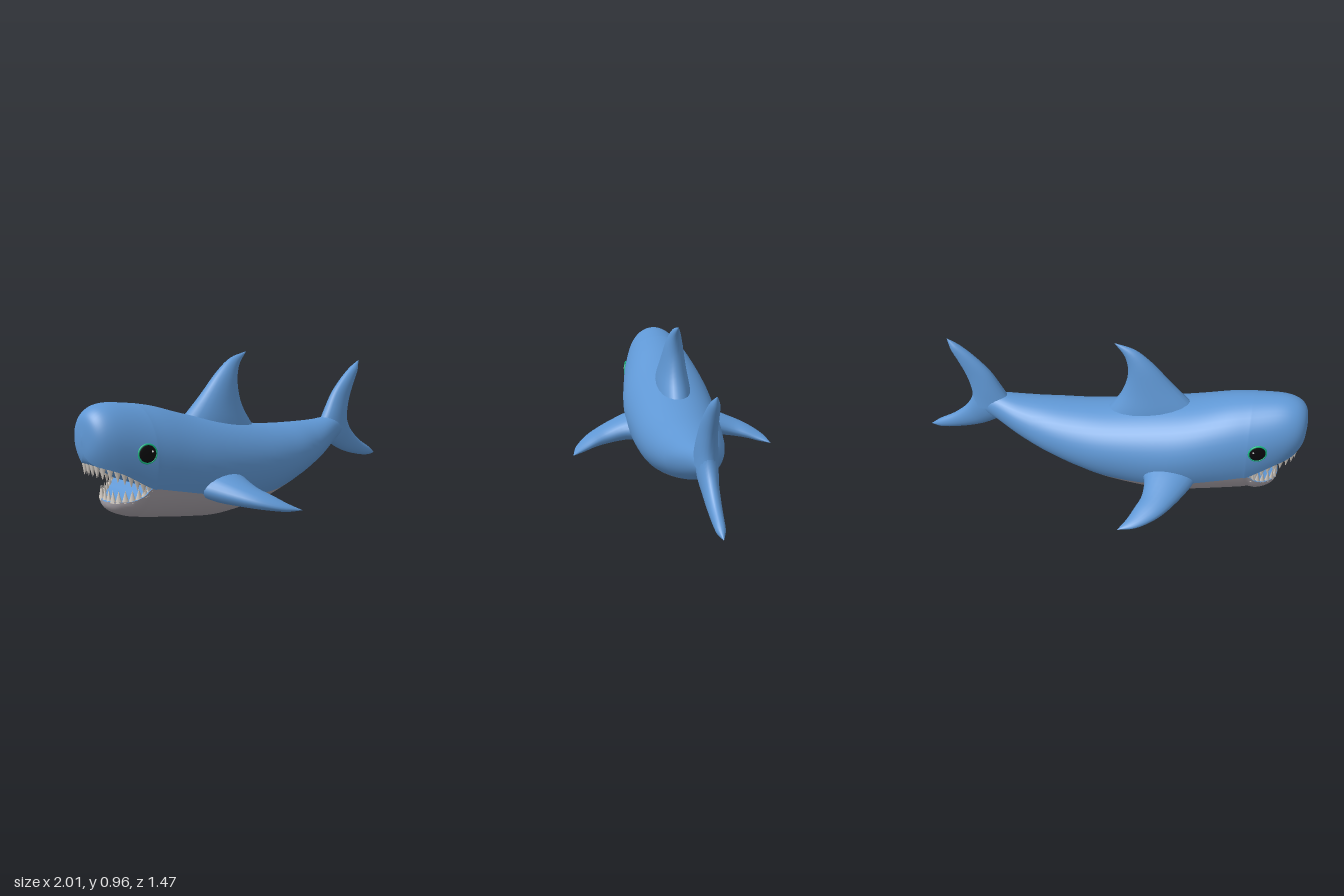
import * as THREE from 'three';

const paint = (name, color) => {
  const m = new THREE.MeshStandardMaterial({ color });
  m.name = name;
  return m;
};
const V = (x, y, z) => new THREE.Vector3(x, y, z);

// Smooth surface through rows of points; closed wraps each row into a ring
function skin(rows, closed = false) {
  const n = rows[0].length, index = [];
  for (let i = 0; i < rows.length - 1; i++) {
    for (let j = 0; j < (closed ? n : n - 1); j++) {
      const k = (j + 1) % n, a = i * n, b = a + n;
      index.push(a + j, b + j, a + k, b + j, b + k, a + k);
    }
  }
  const g = new THREE.BufferGeometry();
  g.setAttribute('position', new THREE.Float32BufferAttribute(rows.flat().flatMap(p => p.toArray()), 3));
  g.setIndex(index);
  g.computeVertexNormals();
  return g;
}

// Catmull-Rom refinement of a table of section values
function refine(table, steps = 5) {
  const out = [], at = i => table[Math.max(0, Math.min(table.length - 1, i))];
  for (let i = 0; i < table.length - 1; i++) {
    for (let s = 0; s < steps; s++) {
      const t = s / steps;
      out.push(at(i).map((b, k) => {
        const a = at(i - 1)[k], c = at(i + 1)[k], d = at(i + 2)[k];
        return b + 0.5 * t * (c - a + t * (2 * a - 5 * b + 4 * c - d + t * (3 * (b - c) + d - a)));
      }));
    }
  }
  out.push(table[table.length - 1]);
  return out;
}

// Arc of a body section, above or below the colour line / lip
function arc([x, w, top, mid, bottom, line], upper, n) {
  const start = Math.asin(Math.max(-1, Math.min(0, (line - mid) / (mid - bottom))));
  const from = upper ? start : Math.PI - start;
  const to = upper ? Math.PI - start : 2 * Math.PI + start;
  return Array.from({ length: n + 1 }, (_, j) => {
    const a = from + (to - from) * j / n, s = Math.sin(a);
    return V(x, mid + s * (s > 0 ? top - mid : mid - bottom), w * Math.cos(a));
  });
}

// Fin lofted between leading and trailing edges, with half thicknesses
function fin(lead, trail, thick, normal) {
  const edge = pts => new THREE.CatmullRomCurve3(pts.map(p => V(...p)));
  const L = edge(lead), T = edge(trail);
  const H = edge(thick.map(t => [t, 0, 0]));
  const n = normal.clone();
  const run = L.getPoint(1).sub(L.getPoint(0));
  if (run.cross(n).dot(L.getPoint(0.2).sub(T.getPoint(0.2))) < 0) n.negate();
  const rows = [];
  for (let i = 0; i <= 20; i++) {
    const l = L.getPoint(i / 20), t = T.getPoint(i / 20), h = H.getPoint(i / 20).x;
    const mid = l.clone().add(t).multiplyScalar(0.5), half = l.clone().sub(mid);
    rows.push(Array.from({ length: 20 }, (_, j) => {
      const a = j / 20 * 2 * Math.PI;
      return mid.clone().addScaledVector(half, Math.cos(a)).addScaledVector(n, h * Math.sin(a));
    }));
  }
  return skin(rows, true);
}

export function createModel() {
  const blue = paint('skin blue', 0x5f97d4);
  const grey = paint('belly grey', 0xa59fa6);
  const ivory = paint('tooth ivory', 0xcfc8c0);
  const black = paint('eye black', 0x0a0a0c);
  const green = paint('eye rim green', 0x18b984);
  const white = paint('eye glint white', 0xffffff);

  const shark = new THREE.Group();
  shark.name = 'shark';
  const add = (name, geometry, material, parent = shark) => {
    const m = new THREE.Mesh(geometry, material);
    m.name = name;
    parent.add(m);
    return m;
  };

  // Sections: position, half width, top, widest height, bottom, colour line
  const trunk = [
    [-0.86, 0.234, 0.716, 0.44, 0.08, 0.27], [-0.82, 0.242, 0.71, 0.43, 0.07, 0.262],
    [-0.7, 0.262, 0.685, 0.40, 0.05, 0.235], [-0.5, 0.288, 0.625, 0.35, 0.02, 0.19],
    [-0.3, 0.29, 0.58, 0.31, 0.002, 0.15], [0, 0.268, 0.523, 0.29, 0.03, 0.12],
    [0.2, 0.24, 0.5, 0.29, 0.085, 0.135], [0.35, 0.212, 0.492, 0.31, 0.135, 0.165],
    [0.47, 0.18, 0.488, 0.33, 0.18, 0.181],
  ];
  const snout = [
    [-1.166, 0, 0.56, 0.55, 0.54, 0.54], [-1.156, 0.08, 0.645, 0.55, 0.455, 0.456],
    [-1.13, 0.13, 0.692, 0.54, 0.39, 0.41], [-1.08, 0.167, 0.722, 0.52, 0.31, 0.39],
    [-1.0, 0.197, 0.731, 0.49, 0.2, 0.355],
  ];
  const peduncle = [
    [0.6, 0.14, 0.487, 0.37, 0.235, 0.235], [0.75, 0.08, 0.495, 0.41, 0.315, 0.315],
    [0.84, 0.05, 0.48, 0.42, 0.36, 0.36], [0.9, 0.01, 0.44, 0.42, 0.4, 0.4],
  ];
  const jaw = [
    [-1.035, 0, 0.2, 0.19, 0.18, 0.19], [-1.025, 0.06, 0.2, 0.2, 0.155, 0.198],
    [-1.0, 0.11, 0.2, 0.202, 0.13, 0.2], [-0.95, 0.155, 0.22, 0.215, 0.105, 0.205],
    [-0.9, 0.193, 0.3, 0.28, 0.088, 0.23],
  ];
  const upper = refine([...snout, ...trunk, ...peduncle]).map(r => arc(r, true, 32));
  const lower = refine([...jaw, ...trunk]).map(r => arc(r, false, 18));
  add('body', skin(upper), blue);
  add('belly', skin(lower), grey);

  // Mouth lining and teeth follow the two lips
  const mouthRows = rows => rows.filter(r => r[0].x <= -0.8599);
  const span = (a, b) => Array.from({ length: 5 }, (_, j) => a.clone().lerp(b, j / 4));
  const lining = rows => skin(mouthRows(rows).map(r => span(r[r.length - 1], r[0])));
  add('palate', lining(upper), blue);
  add('mouthFloor', lining(lower), blue);

  function teeth(name, rows, front, count, dir) {
    const group = new THREE.Group();
    group.name = name;
    shark.add(group);
    const lip = mouthRows(rows).filter(r => r[0].x > front);
    const sides = [...lip.map(r => r[0]).reverse(), ...lip.map(r => r[r.length - 1])];
    const curve = new THREE.CatmullRomCurve3(sides.map(p => V(p.x + 0.008, p.y, p.z * 0.93)));
    for (let i = 0; i < count; i++) {
      const t = (i + 0.5) / count, size = 0.06 + 0.012 * Math.sin(t * Math.PI);
      const p = curve.getPointAt(t), along = curve.getTangentAt(t);
      const tooth = add('tooth', new THREE.ConeGeometry(0.021, size, 8), ivory, group);
      tooth.position.set(p.x, p.y + dir * size * 0.38, p.z);
      tooth.rotation.set(dir < 0 ? Math.PI : 0, dir * Math.atan2(-along.z, along.x), 0);
      tooth.scale.z = 0.6;
    }
  }
  teeth('upperTeeth', upper, -1.125, 20, -1);
  teeth('lowerTeeth', lower, -1.027, 16, 1);

  // Dorsal fin and tail lobes lie in the middle plane
  const flat = pts => pts.map(([x, y]) => [x, y, 0]);
  const side = V(0, 0, 1);
  add('dorsalFin', fin(
    flat([[-0.53, 0.56], [-0.46, 0.625], [-0.36, 0.72], [-0.23, 0.855], [-0.13, 0.93], [-0.005, 0.965]]),
    flat([[0.08, 0.45], [0.02, 0.525], [-0.055, 0.64], [-0.09, 0.77], [-0.072, 0.88], [-0.005, 0.965]]),
    [0.11, 0.1, 0.08, 0.055, 0.03, 0], side), blue);
  add('upperTailLobe', fin(
    flat([[0.65, 0.43], [0.715, 0.54], [0.785, 0.655], [0.89, 0.76], [0.97, 0.82], [1.045, 0.863]]),
    flat([[0.925, 0.40], [0.915, 0.5], [0.94, 0.61], [0.985, 0.71], [1.025, 0.79], [1.045, 0.863]]),
    [0.065, 0.058, 0.046, 0.036, 0.026, 0], side), blue);
  add('lowerTailLobe', fin(
    flat([[0.66, 0.38], [0.76, 0.31], [0.87, 0.25], [1.03, 0.2], [1.16, 0.178], [1.236, 0.185]]),
    flat([[0.91, 0.53], [0.92, 0.46], [0.96, 0.39], [1.06, 0.3], [1.17, 0.235], [1.236, 0.185]]),
    [0.055, 0.056, 0.046, 0.036, 0.026, 0], side), blue);

  for (const s of [1, -1]) {
    const label = s > 0 ? 'right' : 'left';
    // Pectoral fin, sweeping outward and back
    const put = pts => pts.map(([x, y, z]) => [x, y, z * s]);
    add(label + 'PectoralFin', fin(
      put([[-0.57, 0.23, 0.2], [-0.53, 0.21, 0.3], [-0.44, 0.18, 0.47], [-0.373, 0.16, 0.555], [-0.27, 0.135, 0.628], [-0.165, 0.118, 0.652]]),
      put([[-0.2, 0.23, 0.2], [-0.255, 0.215, 0.3], [-0.26, 0.18, 0.42], [-0.235, 0.16, 0.5], [-0.205, 0.135, 0.575], [-0.165, 0.118, 0.652]]),
      [0.09, 0.08, 0.055, 0.04, 0.022, 0], V(0, 1, 0)), blue);

    // Eye: domed disc, rim and glint
    const eye = new THREE.Group();
    eye.name = label + 'Eye';
    eye.position.set(-0.9, 0.468, s * 0.222);
    eye.rotation.y = s > 0 ? -0.25 : Math.PI + 0.25;
    shark.add(eye);
    add('pupil', new THREE.SphereGeometry(0.051, 28, 14), black, eye).scale.z = 0.2;
    add('eyeRim', new THREE.TorusGeometry(0.051, 0.0055, 8, 36), green, eye);
    const glint = add('eyeGlint', new THREE.SphereGeometry(0.006, 10, 8), white, eye);
    glint.position.set(s * 0.026, 0.012, 0.008);
    glint.scale.z = 0.5;
  }

  // The fish lies diagonally
  shark.rotation.y = THREE.MathUtils.degToRad(35);
  shark.position.set(-0.013, 0, -0.019);
  const model = new THREE.Group();
  model.name = 'model';
  model.add(shark);
  return model;
}
